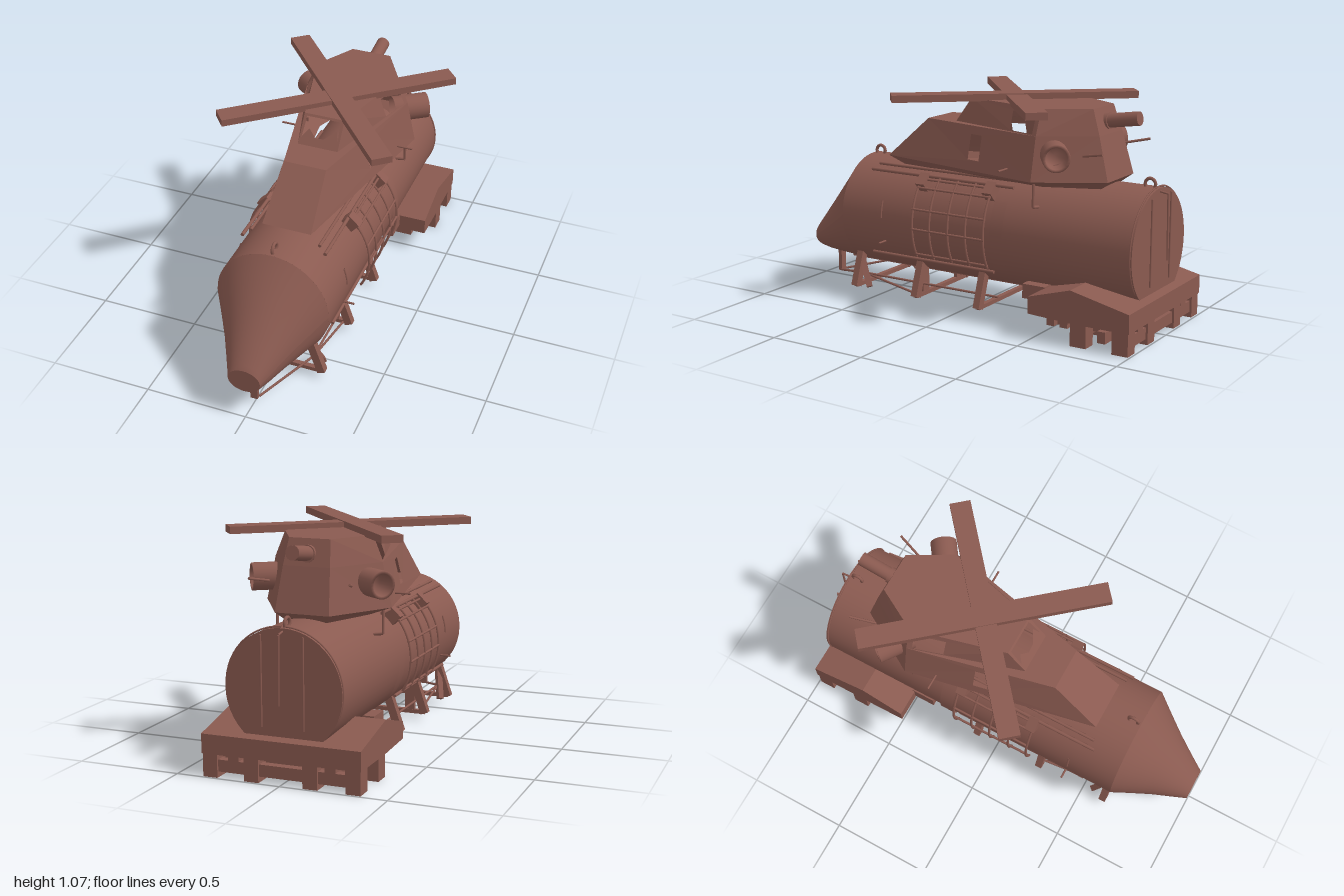
import * as THREE from 'three';

const rust = new THREE.MeshStandardMaterial({ color: 0x8a5a50, side: THREE.DoubleSide });
rust.name = 'rustBrown';
const V = (x, y, z) => new THREE.Vector3(x, y, z);
const UP = V(0, 1, 0);

export function createModel() {
  const model = new THREE.Group();
  const add = (name, geo) => {
    const m = new THREE.Mesh(geo, rust);
    m.name = name;
    model.add(m);
    return m;
  };
  const box = (name, x0, x1, y0, y1, z0, z1) => {
    const m = add(name, new THREE.BoxGeometry(x1 - x0, y1 - y0, Math.abs(z1 - z0)));
    m.position.set((x0 + x1) / 2, (y0 + y1) / 2, (z0 + z1) / 2);
    return m;
  };
  const align = (m, a, b) => {
    m.quaternion.setFromUnitVectors(UP, b.clone().sub(a).normalize());
    return m;
  };
  const rod = (name, a, b, r, sides = 8) => {
    const m = align(add(name, new THREE.CylinderGeometry(r, r, a.distanceTo(b), sides)), a, b);
    m.position.copy(a).lerp(b, 0.5);
    return m;
  };
  const plank = (name, a, b, w, d) => {
    const m = align(add(name, new THREE.BoxGeometry(w, a.distanceTo(b), d)), a, b);
    m.position.copy(a).lerp(b, 0.5);
    return m;
  };
  // Flat faceted polygon fan
  const facets = (name, polys) => {
    const pos = [];
    for (const p of polys)
      for (let i = 1; i < p.length - 1; i++)
        for (const q of [p[0], p[i], p[i + 1]]) pos.push(q.x, q.y, q.z);
    const g = new THREE.BufferGeometry();
    g.setAttribute('position', new THREE.Float32BufferAttribute(pos, 3));
    g.computeVertexNormals();
    return add(name, g);
  };
  // Four-cornered wall with a four-cornered opening given in wall coordinates
  const wallWithHole = (name, c, hole) => {
    const h = hole.map(([u, v]) => c[0].clone().lerp(c[1], u).lerp(c[3].clone().lerp(c[2], u), v));
    return facets(name, c.map((p, i) => [p, c[(i + 1) % 4], h[(i + 1) % 4], h[i]]));
  };

  // Cylindrical hull
  const hull = add('hull', new THREE.CylinderGeometry(0.277, 0.277, 1.61, 48));
  hull.rotation.x = Math.PI / 2;
  hull.position.set(0, 0.415, -0.145);

  // Nose lofted downwards: z, half width, bottom, top
  const sections = [[0.66, 0.277, 0.138, 0.692], [0.72, 0.238, 0.139, 0.62], [0.78, 0.2, 0.14, 0.55],
    [0.84, 0.163, 0.141, 0.48], [0.92, 0.12, 0.145, 0.385], [0.985, 0.086, 0.155, 0.308], [1, 0.079, 0.165, 0.285]];
  const N = 40, pos = [], idx = [];
  sections.forEach(([z, w, lo, hi], j) => {
    for (let i = 0; i <= N; i++) {
      const a = (i / N) * Math.PI * 2;
      pos.push(w * Math.cos(a), (lo + hi) / 2 + ((hi - lo) / 2) * Math.sin(a), z);
      if (j && i) {
        const p = j * (N + 1) + i, q = p - N - 1;
        idx.push(q - 1, q, p, q - 1, p, p - 1);
      }
    }
  });
  const noseGeo = new THREE.BufferGeometry();
  noseGeo.setAttribute('position', new THREE.Float32BufferAttribute(pos, 3));
  noseGeo.setIndex(idx);
  noseGeo.computeVertexNormals();
  add('nose', noseGeo);
  const cap = add('noseCap', new THREE.CircleGeometry(1, N));
  cap.scale.set(0.079, 0.06, 1);
  cap.position.set(0, 0.225, 1);

  // Faceted cabin, one half at a time
  for (const s of [-1, 1]) {
    const P = (x, y, z) => V(s * x, y, z);
    const low = [P(0.12, 0.715, 0.48), P(0.31, 0.715, -0.45), P(0.13, 0.715, -0.75)];
    const mid = [P(0.105, 0.92, 0.25), P(0.265, 0.92, -0.45), P(0.113, 0.92, -0.695)];
    const top = [P(0.1, 1.04, 0), P(0.215, 1.04, -0.45), P(0.1, 1.04, -0.655)];
    const base = [P(0.1, 0.675, 0.4), P(0.2, 0.675, -0.45), P(0.1, 0.675, -0.7)];
    const brow = P(0.1, 0.92, 0.09);
    wallWithHole('cabinSideWall', [low[0], low[1], mid[1], mid[0]],
      [[0.543, 0.24], [0.623, 0.24], [0.556, 0.81], [0.462, 0.81]]);
    wallWithHole('cabinUpperWall', [brow, mid[1], top[1], top[0]],
      [[0.685, 0.05], [0.954, 0.05], [0.947, 0.78], [0.638, 0.78]]);
    facets('cabinRearSide', [[low[1], low[2], mid[2], mid[1]], [mid[1], mid[2], top[2], top[1]]]);
    const c = (p) => V(0, p.y, p.z);
    facets('cabinShell', [
      [c(low[0]), low[0], mid[0], c(mid[0])], [c(mid[0]), mid[0], brow, c(brow)], [mid[0], mid[1], brow],
      [c(low[2]), low[2], mid[2], c(mid[2])], [c(mid[2]), mid[2], top[2], c(top[2])],
      [c(top[0]), top[0], top[1], top[2], c(top[2])],
      [c(base[0]), base[0], low[0], c(low[0])], [base[0], base[1], low[1], low[0]],
      [base[1], base[2], low[2], low[1]], [base[2], c(base[2]), c(low[2]), low[2]]]);

    // Hollow side exhaust
    const a = P(0.2, 0.84, -0.505), b = P(0.32, 0.84, -0.59);
    const duct = align(add('exhaustDuct', new THREE.LatheGeometry(
      [[0.064, -0.03], [0.064, 0.147], [0.05, 0.147], [0.05, 0.05], [0, 0.05]].map(([x, y]) => new THREE.Vector2(x, y)), 24)), a, b);
    duct.position.copy(a);
    rod('sidePin', P(0.26, 0.755, -0.3), P(0.345, 0.755, -0.3), 0.005);
    rod('sideProbe', P(0.2, 0.84, -0.66), P(0.24, 0.865, -0.78), 0.006);
  }
  // Broken windscreen
  wallWithHole('windscreenFrame', [V(-0.1, 0.92, 0.09), V(0.1, 0.92, 0.09), V(0.1, 1.04, 0), V(-0.1, 1.04, 0)],
    [[0.05, 0.25], [0.95, 0.32], [0.92, 0.92], [0.08, 0.92]]);
  facets('windscreenShards', [
    [V(-0.09, 0.95, 0.067), V(-0.02, 0.952, 0.066), V(-0.06, 0.985, 0.041)],
    [V(0.02, 0.955, 0.064), V(0.09, 0.955, 0.064), V(0.075, 0.995, 0.034)]]);

  // Crossed rotor blades and hub
  const blade = (x0, z0, x1, z1, y) => {
    const m = add('rotorBlade', new THREE.BoxGeometry(Math.hypot(x1 - x0, z1 - z0), 0.034, 0.1));
    m.position.set((x0 + x1) / 2, y, (z0 + z1) / 2);
    m.rotation.y = -Math.atan2(z1 - z0, x1 - x0);
  };
  blade(-0.452, 0.203, 0.452, -0.563, 1.047);
  blade(-0.38, -0.632, 0.381, 0.272, 1.052);
  rod('rotorHub', V(0, 1.0, -0.18), V(0, 1.06, -0.18), 0.03, 16);

  // Rear pipe with a collar
  rod('rearPipe', V(0, 0.97, -0.64), V(0, 1.0, -0.84), 0.033, 20);
  rod('rearPipeCollar', V(0, 0.972, -0.655), V(0, 0.976, -0.69), 0.039, 20);

  // Lifting rings
  for (const z of [0.62, -0.9]) {
    const ring = add('liftingRing', new THREE.TorusGeometry(0.026, 0.008, 8, 20));
    ring.rotation.y = Math.PI / 2;
    ring.position.set(0, 0.705, z);
  }

  // Rear pedestal with a ridged top, feet and under-beams
  const outline = new THREE.Shape([[0.48, 0.12], [0.48, 0.2], [0.7, 0.265], [0.995, 0.2], [0.995, 0.11], [0.7, 0.11]]
    .map(([x, y]) => new THREE.Vector2(x, y)));
  const pedestal = add('pedestal', new THREE.ExtrudeGeometry(outline, { depth: 0.757, bevelEnabled: false }));
  pedestal.rotation.y = Math.PI / 2;
  pedestal.position.x = -0.3785;
  for (const s of [-1, 1]) {
    for (const z of [-0.74, -0.95]) {
      box('pedestalFoot', s * 0.34 - 0.035, s * 0.34 + 0.035, 0.003, 0.115, z - 0.04, z + 0.04);
      box('innerFoot', s * 0.14 - 0.035, s * 0.14 + 0.035, 0.003, 0.115, z - 0.04, z + 0.04);
    }
    box('longBeam', s * 0.23 - 0.025, s * 0.23 + 0.025, 0.05, 0.13, -0.53, -0.98);
    for (const z of [-0.55, -0.62]) box('smallFoot', s * 0.26 - 0.03, s * 0.26 + 0.03, 0.05, 0.13, z - 0.02, z + 0.02);
  }
  for (const z of [-0.72, -0.84, -0.96]) box('crossBeam', -0.34, 0.34, 0.03, 0.085, z - 0.02, z + 0.02);

  // Details on both flanks
  const R = 0.312, cy = 0.42;
  const onHull = (deg, z, r = R) => V(r * Math.cos(deg * Math.PI / 180), cy + r * Math.sin(deg * Math.PI / 180), z);
  for (const s of [-1, 1]) {
    const M = (p) => V(s * p.x, p.y, p.z);
    const arc = (name, z, r, d0, d1, t) => {
      const m = add(name, new THREE.TorusGeometry(r, t, 6, 20, (d1 - d0) * Math.PI / 180));
      m.rotation.z = (s > 0 ? d0 : 180 - d1) * Math.PI / 180;
      m.position.set(0, cy, z);
    };
    for (const z of [0.21, 0.11, 0.005, -0.095, -0.195]) arc('cageRib', z, R, -30, 50, 0.006);
    for (const d of [-27, -2, 16, 36, 45])
      rod('cageBar', M(onHull(d, 0.215)), M(onHull(d, -0.2)), 0.006);
    // Curved door plate beside the cage
    const door = add('doorPlate', new THREE.CylinderGeometry(0.288, 0.288, 0.07, 16, 1, true,
      Math.PI / 2 - 0.62, 1.24));
    door.rotation.set(Math.PI / 2, 0, 0);
    if (s < 0) door.rotation.set(Math.PI / 2, Math.PI, 0);
    door.position.set(0, cy, -0.25);
    arc('hullSeam', 0.42, 0.278, 2, 20, 0.005);
    arc('hullBand', -0.94, 0.278, -40, 88, 0.004);
    // Rails, brackets and pipes
    rod('upperRail', M(V(0.205, 0.655, 0.52)), M(V(0.205, 0.655, -0.3)), 0.009);
    rod('upperRail', M(V(0.17, 0.68, 0.5)), M(V(0.17, 0.68, -0.4)), 0.008);
    rod('lowerRail', M(V(0.235, 0.24, 0.5)), M(V(0.235, 0.24, -0.21)), 0.008);
    for (const z of [0.2, -0.18]) {
      const b = box('railBracket', -0.035, 0.035, -0.03, 0.03, z - 0.025, z + 0.025);
      b.position.set(s * 0.215, 0.625, z);
      b.rotation.z = -s * 0.75;
    }
    rod('cabinPipe', M(V(0.265, 0.59, -0.44)), M(V(0.265, 0.72, -0.44)), 0.007);
    rod('cabinPipe', M(V(0.265, 0.59, -0.44)), M(V(0.2, 0.58, -0.44)), 0.007);
    rod('flankPin', M(V(0.22, 0.31, 0.41)), M(V(0.31, 0.31, 0.41)), 0.005);
    // Slanted legs and boards below
    for (const z of [0.62, 0.25, -0.115])
      plank('supportLeg', M(V(0.165, 0.23, z)), M(V(0.23, 0.04, z)), 0.04, 0.035);
    plank('braceLeg', M(V(0.17, 0.2, 0.63)), M(V(0.21, 0.04, 0.55)), 0.03, 0.025);
    box('keelBoard', s * 0.15 - 0.025, s * 0.15 + 0.025, 0.045, 0.21, 0.26, 0.24);
    rod('skidRod', M(V(0.18, 0.1, 0.6)), M(V(0.18, 0.1, -0.2)), 0.006);
    rod('frontBrace', M(V(0.02, 0.035, 0.88)), M(V(0.18, 0.1, 0.6)), 0.006);
    rod('frontBrace', M(V(0.18, 0.1, 0.6)), M(V(0.2, 0.045, 0.26)), 0.006);
    box('sideStep', s * 0.2 - 0.04, s * 0.2 + 0.04, 0.14, 0.21, -0.37, -0.49);
    rod('rearRod', M(V(0.1, 0.66, -0.96)), M(V(0.1, 0.25, -0.96)), 0.005);
  }
  for (const z of [0.62, 0.25, -0.115]) box('crossBar', -0.23, 0.23, 0.035, 0.055, z - 0.012, z + 0.012);
  box('frontPost', -0.018, 0.018, 0.03, 0.16, 0.88, 0.9);
  box('keelRail', -0.02, 0.02, 0.125, 0.145, -0.45, 0.8);
  rod('rearCable', V(0, 0.67, -0.99), V(0, 0.36, -0.995), 0.005);
  rod('rearCable', V(0, 0.68, -0.93), V(0, 0.67, -0.99), 0.005);
  return model;
}
